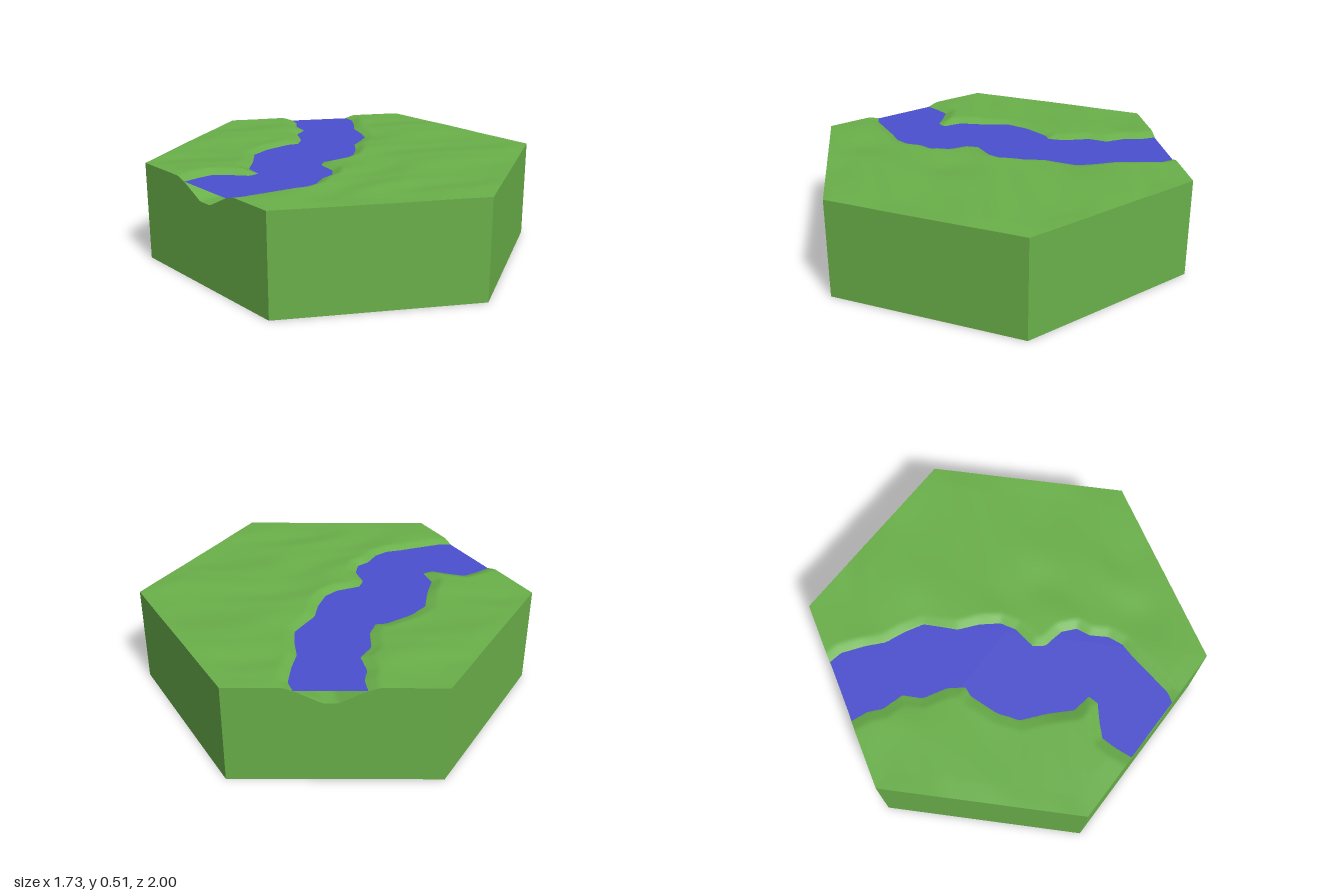
import * as THREE from 'three';

const RINGS = 64, TOP = 0.502, WATER = 0.485, BED = 0.42;

// River banks as [x, z], running a little past the tile edge at both ends
const northBank = [
  [-1, -0.13], [-0.866, -0.14], [-0.78, -0.15], [-0.7, -0.15], [-0.64, -0.09], [-0.58, -0.02],
  [-0.525, -0.02], [-0.51, -0.12], [-0.42, -0.21], [-0.33, -0.32], [-0.22, -0.36], [-0.07, -0.37],
  [-0.02, -0.35], [0.05, -0.41], [0.11, -0.52], [0.2, -0.57], [0.23, -0.68], [0.28, -0.74],
  [0.31, -0.82], [0.41, -0.99],
];
const southBank = [
  [0.69, -0.83], [0.59, -0.66], [0.58, -0.59], [0.51, -0.49], [0.44, -0.41], [0.4, -0.31],
  [0.35, -0.22], [0.2, -0.14], [0.13, -0.05], [0.05, 0.02], [-0.03, 0.04], [-0.15, 0.02],
  [-0.2, 0.06], [-0.22, 0.17], [-0.27, 0.23], [-0.34, 0.24], [-0.42, 0.29], [-0.5, 0.3],
  [-0.57, 0.28], [-0.82, 0.23], [-0.866, 0.2], [-1, 0.2],
];
const river = [...northBank, ...southBank];

function distanceTo(line, x, z) {
  let best = Infinity;
  for (let i = 1; i < line.length; i++) {
    const [ax, az] = line[i - 1], dx = line[i][0] - ax, dz = line[i][1] - az;
    const t = THREE.MathUtils.clamp(((x - ax) * dx + (z - az) * dz) / (dx * dx + dz * dz), 0, 1);
    best = Math.min(best, Math.hypot(x - ax - t * dx, z - az - t * dz));
  }
  return best;
}

function inRiver(x, z) {
  let inside = false;
  river.forEach(([ax, az], i) => {
    const [bx, bz] = river[(i + 1) % river.length];
    if ((az > z) !== (bz > z) && x < ax + ((z - az) / (bz - az)) * (bx - ax)) inside = !inside;
  });
  return inside;
}

// Gentle grass ripples, stretched along x
function ripple(x, z) {
  const warp = 0.9 * Math.sin(4 * x + 2.3 * z) + 0.5 * Math.sin(9 * x - 5 * z + 1);
  return 0.0035 * Math.sin(14 * z + 3 * x + 1.5 * warp)
    + 0.0025 * Math.sin(9 * x - 6 * z + warp)
    + 0.0012 * Math.sin(31 * z - 8 * x + 2 * warp);
}

// Ground height: rippled grass, sloping banks and a sunken river bed
function groundHeight(x, z, edgeFade) {
  const dNorth = distanceTo(northBank, x, z), dSouth = distanceTo(southBank, x, z);
  const d = Math.min(dNorth, dSouth);
  if (inRiver(x, z)) return WATER - (WATER - BED) * Math.min(1, d / 0.13);
  const rise = Math.min(1, d / (dNorth < dSouth ? 0.055 : 0.045));
  return WATER + (TOP - WATER + ripple(x, z) * edgeFade) * rise;
}

const corner = (k) => [Math.sin((k * Math.PI) / 3), Math.cos((k * Math.PI) / 3)];

// Top surface as concentric hexagonal rings
function groundGeometry() {
  const pos = [0, groundHeight(0, 0, 1), 0], index = [];
  const id = (r, n) => (r === 0 ? 0 : 1 + 3 * r * (r - 1) + (n % (6 * r)));
  for (let r = 1; r <= RINGS; r++) {
    const fade = Math.min(1, 0.15 + (1 - r / RINGS) * 8);
    for (let k = 0; k < 6; k++) {
      const [ax, az] = corner(k), [bx, bz] = corner(k + 1);
      for (let j = 0; j < r; j++) {
        const t = j / r, s = r / RINGS;
        const x = (ax + (bx - ax) * t) * s, z = (az + (bz - az) * t) * s;
        pos.push(x, groundHeight(x, z, fade), z);
        const inner = id(r - 1, k * (r - 1) + j);
        index.push(inner, id(r, k * r + j), id(r, k * r + j + 1));
        if (j < r - 1) index.push(inner, id(r, k * r + j + 1), id(r - 1, k * (r - 1) + j + 1));
      }
    }
  }
  const geo = new THREE.BufferGeometry();
  geo.setAttribute('position', new THREE.Float32BufferAttribute(pos, 3));
  geo.setIndex(index);
  geo.computeVertexNormals();
  return geo;
}

// Vertical walls dropping from the outermost ring to the floor
function wallGeometry(ground) {
  const p = ground.attributes.position, first = 1 + 3 * RINGS * (RINGS - 1), count = 6 * RINGS;
  const pos = [];
  for (let i = 0; i < count; i++) {
    const a = new THREE.Vector3().fromBufferAttribute(p, first + i);
    const b = new THREE.Vector3().fromBufferAttribute(p, first + ((i + 1) % count));
    pos.push(a.x, 0, a.z, b.x, 0, b.z, b.x, b.y, b.z);
    pos.push(a.x, 0, a.z, b.x, b.y, b.z, a.x, a.y, a.z);
  }
  const geo = new THREE.BufferGeometry();
  geo.setAttribute('position', new THREE.Float32BufferAttribute(pos, 3));
  geo.computeVertexNormals();
  return geo;
}

export function createModel() {
  const group = new THREE.Group();
  group.name = 'riverTile';
  const grass = new THREE.MeshStandardMaterial({ color: 0x6ab04a });
  const blue = new THREE.MeshStandardMaterial({ color: 0x4c50cf, side: THREE.DoubleSide });
  const add = (name, geo, mat) => {
    const mesh = new THREE.Mesh(geo, mat);
    mesh.name = name;
    group.add(mesh);
    return mesh;
  };

  const ground = groundGeometry();
  add('ground', ground, grass);
  add('walls', wallGeometry(ground), grass);
  add('base', new THREE.CircleGeometry(1, 6, Math.PI / 2).rotateX(Math.PI / 2), grass);

  // Flat water sheet, showing only where the ground dips below it
  const water = new THREE.CircleGeometry(0.998, 6, Math.PI / 2).rotateX(-Math.PI / 2);
  add('water', water, blue).position.y = WATER;
  return group;
}
